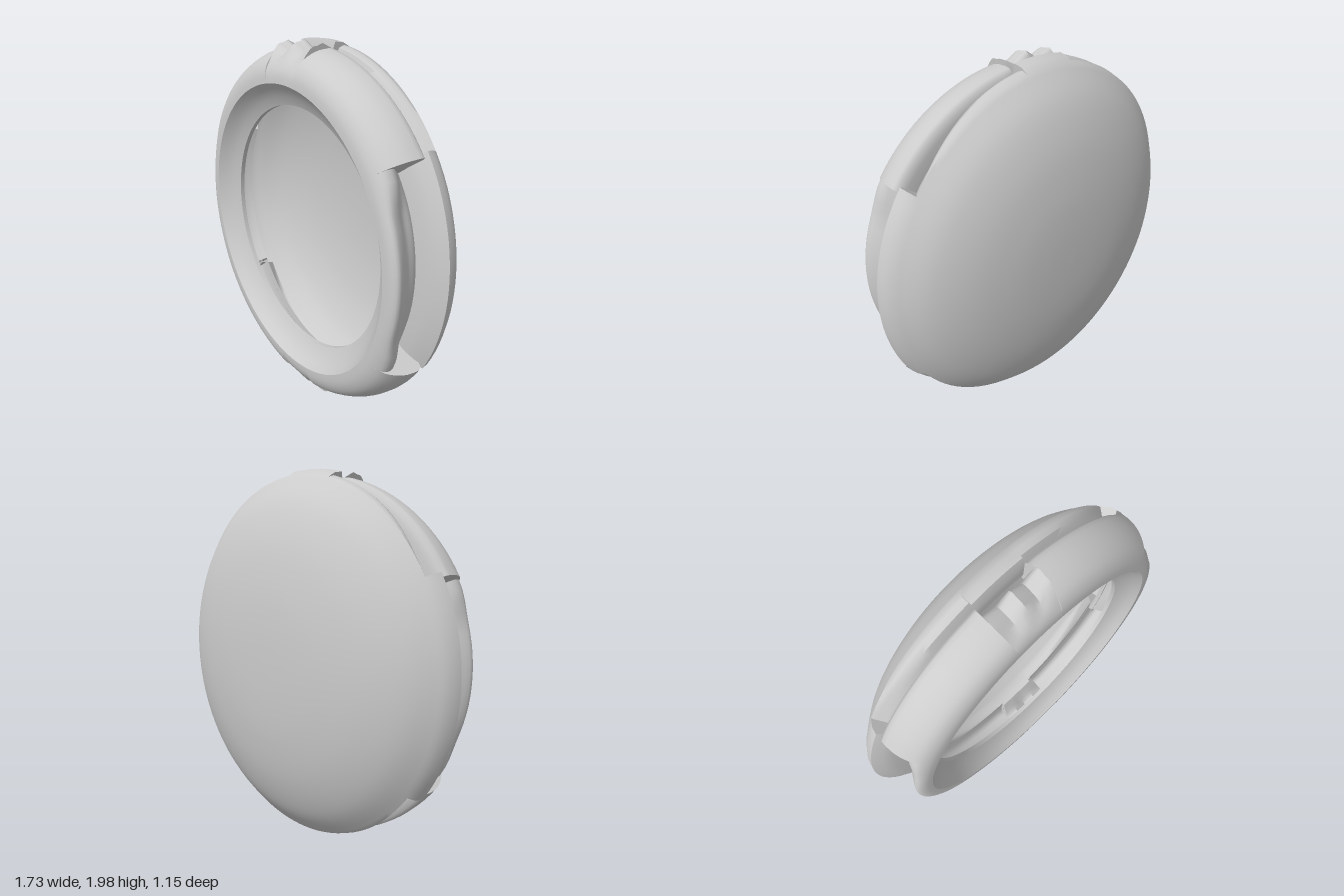
import * as THREE from 'three';
import { toCreasedNormals } from 'three/addons/utils/BufferGeometryUtils.js';

const DEG = Math.PI / 180;
const GRIP = 33.5 * DEG;  // half angle of the side grip notches
const TAB = 81 * DEG;     // where the top and bottom tabs begin
const TWIST = 3.5 * DEG;  // turn of the whole notch pattern

const { lerp, smoothstep } = THREE.MathUtils;
const points = list => list.map(([r, w]) => new THREE.Vector2(r, w));
const spline = (list, n) => new THREE.SplineCurve(points(list)).getPoints(n);

// Angles around the disc; sector borders appear twice so steps stay sharp.
// "near" runs from 0 beside a grip to 1 at the top and bottom.
function sweepAngles() {
  const list = [];
  const add = (from, to, n, sector) => {
    for (let i = 0; i <= n; i++) {
      const t = i / n, a = from + (to - from) * t;
      const near = smoothstep(Math.abs(Math.sin(a)), Math.sin(GRIP), 1);
      list.push({ a: a + TWIST, t, sector, near });
    }
  };
  for (const base of [0, Math.PI]) {
    add(base - GRIP, base + GRIP, 20, 'grip');
    add(base + GRIP, base + TAB, 16, 'puff');
    add(base + TAB, base + Math.PI - TAB, 8, 'tab');
    add(base + Math.PI - TAB, base + Math.PI - GRIP, 16, 'puff');
  }
  list.push({ ...list[0], a: list[0].a + 2 * Math.PI });
  return list;
}

// Skins a profile that changes with the angle around the z axis
function sweep(profileAt, crease, stretchY = 1) {
  const pos = [], index = [];
  const angles = sweepAngles();
  let rows = 0;
  for (const s of angles) {
    const pts = profileAt(s);
    rows = pts.length;
    for (const p of pts) pos.push(p.x * Math.cos(s.a), p.x * Math.sin(s.a) * stretchY, p.y);
  }
  for (let i = 0; i < angles.length - 1; i++) {
    for (let j = 0; j < rows - 1; j++) {
      const k = i * rows + j;
      index.push(k, k + 1, k + rows, k + 1, k + rows + 1, k + rows);
    }
  }
  const g = new THREE.BufferGeometry();
  g.setAttribute('position', new THREE.Float32BufferAttribute(pos, 3));
  g.setIndex(index);
  return toCreasedNormals(g, crease);
}

// Domed back shell: a rounded flange at the grips, rolled into a groove behind the ring elsewhere
const DOME = spline([
  [0.915, -0.125], [0.79, -0.233], [0.61, -0.313], [0.4, -0.36], [0.2, -0.38], [0, -0.385],
], 24);

function shellProfile({ sector, near }) {
  const rim = {
    grip: [[0.78, 0.012], [0.85, 0.002], [0.9, -0.015], [0.952, -0.045], [0.942, -0.085]],
    puff: [[0.83, -0.03], [0.85, -0.04], [0.875, lerp(-0.075, -0.045, near)],
      [lerp(0.9, 0.915, near), lerp(-0.105, -0.06, near)], [lerp(0.91, 0.925, near), lerp(-0.118, -0.09, near)]],
    tab: [[0.83, -0.02], [0.86, -0.02], [0.9, -0.02], [0.945, -0.035], [0.938, -0.085]],
  }[sector];
  return [...points(rim), ...DOME];
}

// Padded front ring: full beside the grips, pinched inside them, folded at the tabs
function ringProfile({ sector, t }) {
  const puff = [[0.79, 0.215], [0.85, 0.208], [0.908, 0.175], [0.948, 0.11],
    [0.964, 0.04], [0.95, -0.025], [0.82, -0.035]];
  let outer = puff;
  if (sector === 'grip') {
    const dip = 0.015 * Math.sin(Math.PI * t);
    const pinched = [[0.79, 0.215], [0.84, 0.211], [0.872, 0.185], [0.86 - dip, 0.13],
      [0.825 - dip, 0.08], [0.81 - dip, 0.03], [0.77, -0.01]];
    // The front edge flows into the neighbouring padding, the back stays notched
    const blend = smoothstep(Math.abs(2 * t - 1), 0.55, 1);
    const share = [0, 0.9, 0.8, 0.5, 0.2, 0, 0];
    outer = pinched.map(([r, w], i) => [
      lerp(r, puff[i][0], share[i] * blend), lerp(w, puff[i][1], share[i] * blend)]);
  } else if (sector === 'tab') {
    const fold = 0.045 * Math.abs(((t * 4) % 2) - 1);
    outer = [[0.79, 0.215], [0.84, 0.208], [0.89, 0.18], [0.925 + fold, 0.12],
      [0.938 + fold, 0.08], [0.935 + fold, 0.03], [0.82, -0.02]];
  }
  const lip = [[0.67, 0.1], [0.67, 0.125], [0.715, 0.145], [0.76, 0.18]];
  return [...points(lip), ...spline(outer, 18)];
}

export function createModel() {
  const material = new THREE.MeshStandardMaterial({ color: 0xcccccc, side: THREE.DoubleSide });
  const model = new THREE.Group();
  model.name = 'roundCase';

  const disc = new THREE.Group();
  disc.name = 'tiltedDisc';
  disc.position.y = 1;
  disc.rotation.y = -27.3 * DEG;
  model.add(disc);

  const addPart = (name, geometry, x) => {
    const mesh = new THREE.Mesh(geometry, material);
    mesh.name = name;
    mesh.position.x = x;
    disc.add(mesh);
  };
  addPart('backShell', sweep(shellProfile, 0.8, 1.05), -0.012);
  addPart('frontRing', sweep(ringProfile, 0.8), -0.005);
  return model;
}
